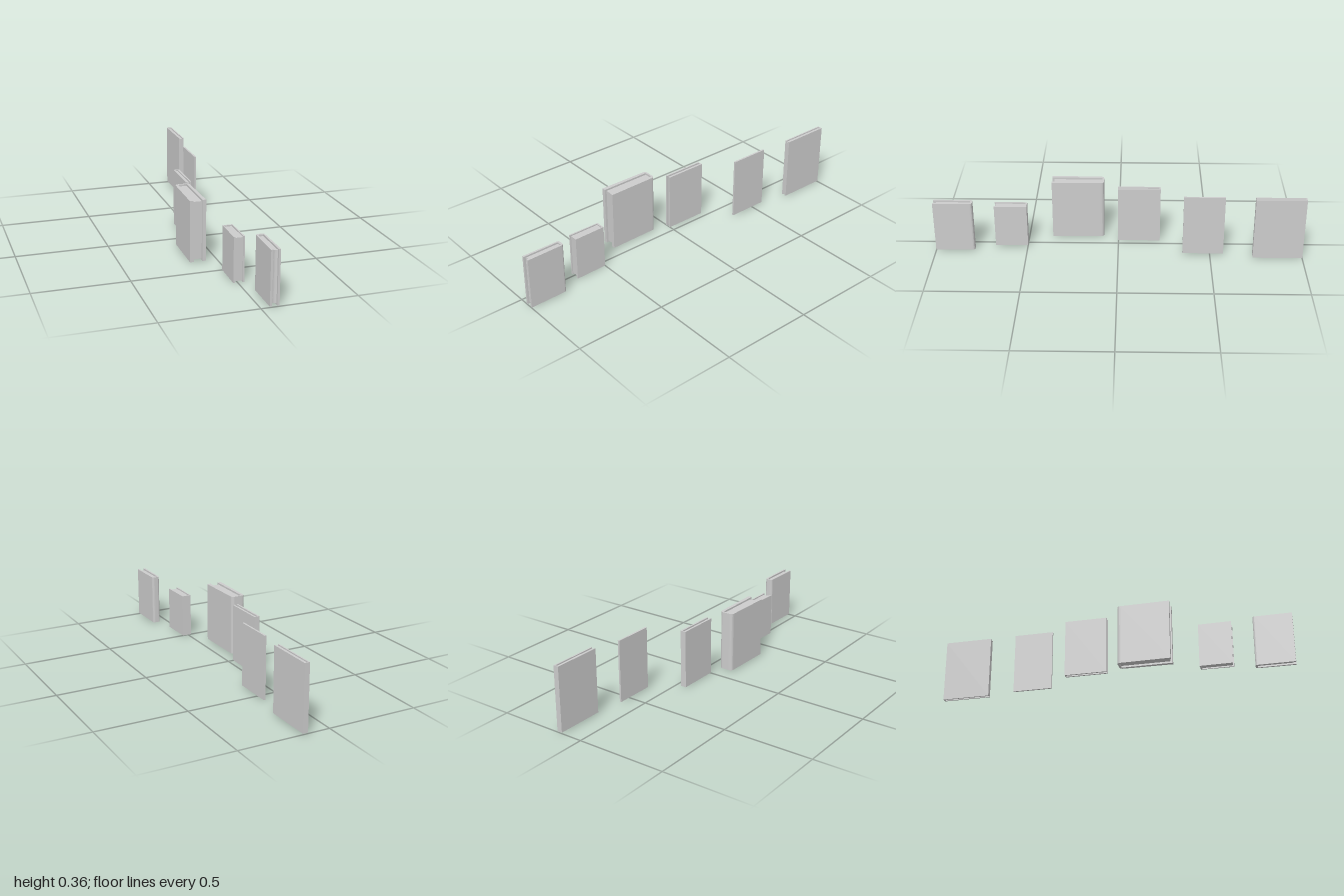
import * as THREE from 'three';

const material = new THREE.MeshStandardMaterial({ color: 0xcccccc });

// Extrudes an outline given in (x, -z) upwards from y0 to y1
function extrudeUp(shape, y0, y1) {
  const geo = new THREE.ExtrudeGeometry(shape, { depth: y1 - y0, bevelEnabled: false, curveSegments: 6 });
  geo.rotateX(-Math.PI / 2);
  geo.translate(0, y0, 0);
  return geo;
}

function part(geo, name) {
  const mesh = new THREE.Mesh(geo, material);
  mesh.name = name;
  return mesh;
}

// Hardcover: U-shaped cover with its spine at the back, around a smaller page block
function makeBook({ name, x, y, z, cover, spine, inset, recess, round = 0, flare = 0, hollow = 0 }) {
  const book = new THREE.Group();
  book.name = name;
  const [x0, x1] = x, back = -z[0], front = -z[1];
  const b0 = x0 + flare, b1 = x1 - flare;
  const i0 = x0 + cover, i1 = x1 - cover;

  // Cover boards and spine in one outline
  const u = new THREE.Shape();
  u.moveTo(x0, front);
  u.lineTo(i0, front);
  u.lineTo(i0, back - spine);
  u.lineTo(i1, back - spine);
  u.lineTo(i1, front);
  u.lineTo(x1, front);
  if (round) {
    u.lineTo(b1, back - round);
    u.quadraticCurveTo(b1, back, b1 - round, back);
    u.lineTo(b0 + round, back);
    u.quadraticCurveTo(b0, back, b0, back - round);
  } else {
    u.lineTo(b1, back);
    u.lineTo(b0, back);
  }
  u.closePath();
  book.add(part(extrudeUp(u, y[0], y[1]), 'cover'));

  // Page block, with a hollow fore edge where asked for
  const p = new THREE.Shape();
  const edge = front + recess;
  p.moveTo(i0, edge);
  p.quadraticCurveTo((i0 + i1) / 2, edge + hollow * 2, i1, edge);
  p.lineTo(i1, back - spine);
  p.lineTo(i0, back - spine);
  p.closePath();
  book.add(part(extrudeUp(p, y[0] + inset, y[1] - inset), 'pages'));
  return book;
}

export function createModel() {
  const model = new THREE.Group();
  model.name = 'books';

  const books = [
    { name: 'thickBook', x: [-0.15, -0.063], y: [0.005, 0.34], z: [0.08, 0.367], cover: 0.02, spine: 0.01, inset: 0.01, recess: 0.012, round: 0.02, flare: 0.004 },
    { name: 'slimBook', x: [-0.062, -0.03], y: [0.002, 0.323], z: [-0.23, 0.003], cover: 0.009, spine: 0.006, inset: 0.008, recess: 0.01 },
    { name: 'smallBook', x: [-0.023, 0.035], y: [0, 0.243], z: [0.5, 0.678], cover: 0.008, spine: 0.008, inset: 0.007, recess: 0.006, flare: 0.003 },
    { name: 'roundedBook', x: [0.044, 0.093], y: [0.004, 0.29], z: [0.787, 1], cover: 0.011, spine: 0.012, inset: 0.009, recess: 0.012, round: 0.014, flare: 0.002, hollow: 0.005 },
    { name: 'tallBook', x: [0.121, 0.15], y: [0.005, 0.36], z: [-1, -0.73], cover: 0.007, spine: 0.006, inset: 0.006, recess: 0 },
  ];
  books.forEach((b) => model.add(makeBook(b)));

  // Thin booklet
  const booklet = part(new THREE.BoxGeometry(0.01, 0.345, 0.222), 'booklet');
  booklet.position.set(0.105, 0.178, -0.462);
  model.add(booklet);

  return model;
}
